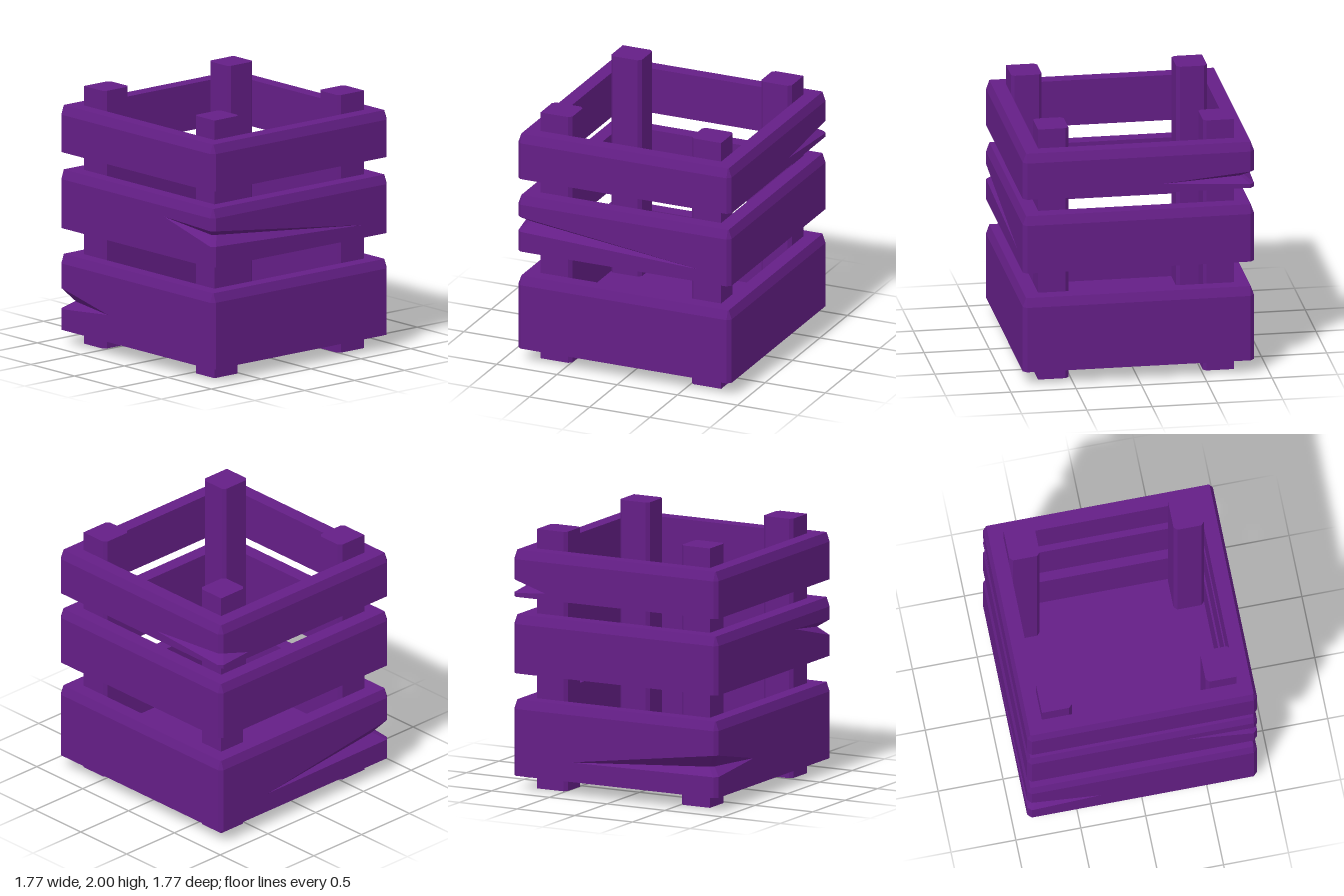
import * as THREE from 'three';

const OUT = 0.885, INN = 0.75, BEVEL = 0.03;
const clamp = THREE.MathUtils.clamp;

// quarter turns that carry the (+x,+z) corner round the crate
function turn(x, z, k) {
  for (let i = 0; i < k; i++) [x, z] = [z, -x];
  return [x, z];
}

// Square slatted ring: a closed cross-section swept round the perimeter.
// One corner is split by a wedge-shaped crack tapering to a tip on each face.
function bandGeometry(y0, y1, shoulder, crack) {
  const sections = [];
  const addSection = (bx, bz, k, low, mid, high, inset) => {
    const [x, z] = turn(bx, bz, k);
    const [mx, mz] = turn(bx - inset, bz - inset, k);
    const pull = (r, y) => [clamp(x, -r, r), y, clamp(z, -r, r)];
    sections.push([
      [x, y0, z], [x, low, z], [mx, mid, mz], [x, high, z], [x, y1 - shoulder, z],
      pull(OUT - 0.025, y1), pull(INN, y1), pull(INN, y0),
    ]);
  };
  for (let k = 0; k < 4; k++) {
    const c = k === crack.corner;
    const flat = (y0 + y1) / 2;
    const [low, mid, high] = c ? crack.mouth : [flat, flat, flat];
    const inset = c ? crack.depth : 0;
    if (c) addSection(crack.tipIn[0], OUT, k, crack.tipIn[1], crack.tipIn[1], crack.tipIn[1], 0);
    addSection(OUT - BEVEL, OUT, k, low, mid, high, inset);
    addSection(OUT, OUT - BEVEL, k, low, mid, high, inset);
    if (c) addSection(OUT, crack.tipOut[0], k, crack.tipOut[1], crack.tipOut[1], crack.tipOut[1], 0);
  }

  const pos = [];
  const tri = (...p) => {
    const v = p.map((q) => new THREE.Vector3(...q));
    if (new THREE.Triangle(...v).getArea() > 1e-7) p.forEach((q) => pos.push(...q));
  };
  sections.forEach((s, i) => {
    const n = sections[(i + 1) % sections.length];
    s.forEach((a, j) => {
      const up = (j + 1) % s.length;
      tri(a, n[j], n[up]);
      tri(a, n[up], s[up]);
    });
  });
  const g = new THREE.BufferGeometry();
  g.setAttribute('position', new THREE.Float32BufferAttribute(pos, 3));
  g.computeVertexNormals();
  return g;
}

// Corner post with its three exposed edges bevelled
function postGeometry(sx, sz) {
  const a = 0.515, c = 0.495, o = 0.75, b = 0.025;
  const outline = [
    [o, o], [a + b, o], [a, o - b], [a, c + b], [a + b, c], [o - b, c], [o, c + b],
  ].map(([x, z]) => new THREE.Vector2(x * sx, -z * sz));
  const g = new THREE.ExtrudeGeometry(new THREE.Shape(outline), { depth: 2, bevelEnabled: false });
  return g.rotateX(-Math.PI / 2);
}

export function createModel() {
  const crate = new THREE.Group();
  crate.name = 'crate';
  const wood = new THREE.MeshStandardMaterial({ color: 0x641e86, flatShading: true });
  const add = (geometry, name) => {
    const m = new THREE.Mesh(geometry, wood);
    m.name = name;
    crate.add(m);
    return m;
  };

  // three bands, each cracked at a different corner
  add(bandGeometry(0.11, 0.695, 0.07, {
    corner: 3, mouth: [0.27, 0.33, 0.435], depth: 0.08, tipIn: [-0.39, 0.26], tipOut: [0.32, 0.32],
  }), 'bottomBand');
  add(bandGeometry(0.9, 1.35, 0.07, {
    corner: 0, mouth: [1.06, 1.13, 1.18], depth: 0.07, tipIn: [0.32, 1.2], tipOut: [-0.62, 1.0],
  }), 'middleBand');
  add(bandGeometry(1.49, 1.85, 0.07, {
    corner: 2, mouth: [1.52, 1.57, 1.62], depth: 0.07, tipIn: [0.19, 1.56], tipOut: [0.6, 1.54],
  }), 'topBand');

  // floor inside the bottom band
  add(new THREE.BoxGeometry(2 * INN, 0.13, 2 * INN), 'floor').position.y = 0.175;

  // corner posts
  for (const sx of [-1, 1]) for (const sz of [-1, 1]) {
    add(postGeometry(sx, sz), (sz > 0 ? 'front' : 'back') + (sx > 0 ? 'Left' : 'Right') + 'Post');
  }
  return crate;
}
